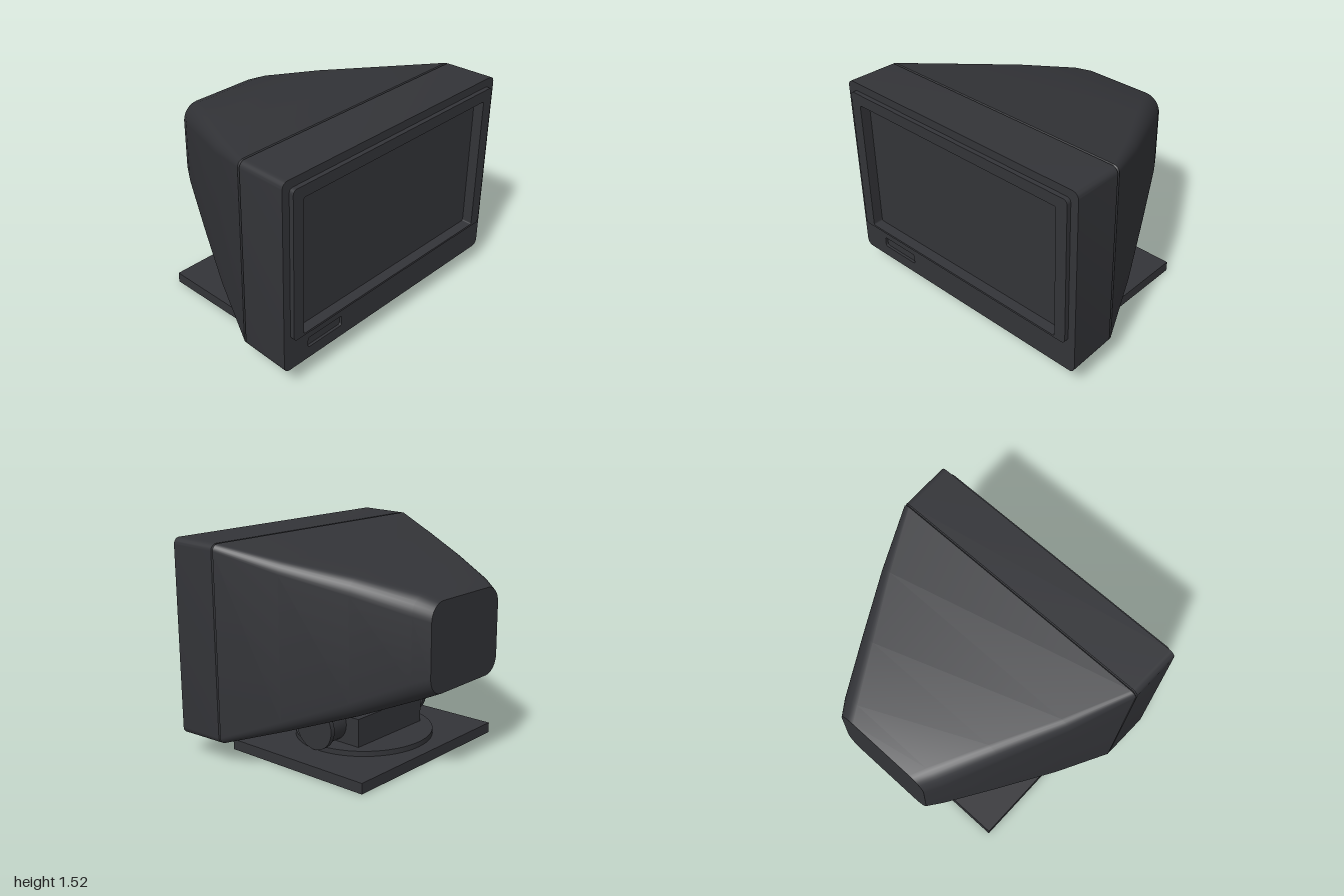
import * as THREE from 'three';
import { toCreasedNormals } from 'three/addons/utils/BufferGeometryUtils.js';

const plastic = new THREE.MeshStandardMaterial({ color: 0x333438 });

// Rounded rectangle as a counter-clockwise loop of points
function roundedLoop(x0, x1, y0, y1, r, seg = 8) {
  const centres = [[x1 - r, y1 - r], [x0 + r, y1 - r], [x0 + r, y0 + r], [x1 - r, y0 + r]];
  const pts = [];
  centres.forEach(([cx, cy], k) => {
    for (let i = 0; i <= seg; i++) {
      const a = (k + i / seg) * Math.PI / 2;
      pts.push(new THREE.Vector2(cx + r * Math.cos(a), cy + r * Math.sin(a)));
    }
  });
  return pts;
}

function plate(outer, ...holes) {
  const shape = new THREE.Shape(outer);
  shape.holes = holes.map((h) => new THREE.Path(h));
  return shape;
}

const extrude = (shape, depth) => new THREE.ExtrudeGeometry(shape, { depth, bevelEnabled: false });

// Skin over rounded sections [z, halfWidth, bottom, top, radius], front to back
function loft(sections) {
  const pos = [], idx = [];
  let n = 0;
  for (const [z, w, y0, y1, r] of sections) {
    const loop = roundedLoop(-w, w, y0, y1, r);
    n = loop.length;
    loop.forEach((p) => pos.push(p.x, p.y, z));
  }
  for (let s = 0; s < sections.length - 1; s++) {
    for (let j = 0; j < n; j++) {
      const a = s * n + j, b = s * n + (j + 1) % n;
      idx.push(a, a + n, b, b, a + n, b + n);
    }
  }
  const g = new THREE.BufferGeometry();
  g.setAttribute('position', new THREE.Float32BufferAttribute(pos, 3));
  g.setIndex(idx);
  return toCreasedNormals(g, 0.45);
}

export function createModel() {
  const model = new THREE.Group();
  const add = (name, geometry, x = 0, y = 0, z = 0, parent = model) => {
    const mesh = new THREE.Mesh(geometry, plastic);
    mesh.name = name;
    mesh.position.set(x, y, z);
    parent.add(mesh);
    return mesh;
  };

  // Front housing with its face, pierced for the screen and the control panel
  const opening = roundedLoop(-0.86, 0.86, 0.405, 1.38, 0.012);
  const panel = roundedLoop(-0.79, -0.48, 0.235, 0.31, 0.015);
  add('frontHousing', loft([
    [0.803, 1, 0.153, 1.517, 0.045],
    [0.447, 0.993, 0.16, 1.511, 0.045],
    [0.441, 0.984, 0.169, 1.502, 0.04],
  ]));
  add('frontFace', new THREE.ShapeGeometry(
    plate(roundedLoop(-1, 1, 0.153, 1.517, 0.045), opening, panel)), 0, 0, 0.803);

  // Tapering rear housing, corners softening towards the back
  const rear = [
    [0.441, 0.984, 0.169, 1.502, 0.04],
    [0.432, 0.993, 0.16, 1.511, 0.045],
    [0.03, 0.82, 0.285, 1.423, 0.08],
    [-0.38, 0.615, 0.42, 1.34, 0.11],
    [-0.735, 0.435, 0.56, 1.25, 0.13],
    [-0.837, 0.37, 0.605, 1.207, 0.12],
  ];
  add('rearHousing', loft(rear));
  const [backZ, w, y0, y1, r] = rear[rear.length - 1];
  add('backPanel', new THREE.ShapeGeometry(plate(roundedLoop(-w, w, y0, y1, r))), 0, 0, backZ)
    .rotation.y = Math.PI;

  // Raised bezel reaching back to the recessed screen
  add('bezel', extrude(plate(roundedLoop(-0.945, 0.945, 0.39, 1.46, 0.03), opening), 0.085), 0, 0, 0.75);
  add('screen', new THREE.PlaneGeometry(1.74, 0.99), 0, 0.8925, 0.76);

  // Shallow control panel recess
  add('controlRecess', extrude(plate(roundedLoop(-0.8, -0.47, 0.225, 0.32, 0.02), panel), 0.025), 0, 0, 0.777);
  add('controlPanel', new THREE.PlaneGeometry(0.32, 0.085), -0.635, 0.2725, 0.783);

  // Swivel stand
  const stand = new THREE.Group();
  stand.name = 'stand';
  model.add(stand);
  add('basePlate', new THREE.BoxGeometry(1.44, 0.075, 1.185), 0, 0.0375, 0.017, stand);
  add('turntable', new THREE.CylinderGeometry(0.49, 0.49, 0.04, 64), 0, 0.092, 0.017, stand);
  add('pedestal', new THREE.BoxGeometry(0.69, 0.21, 0.49), 0, 0.207, 0.02, stand);
  add('tiltAxle', new THREE.CylinderGeometry(0.135, 0.135, 1, 40), 0, 0.248, 0.018, stand)
    .rotation.z = Math.PI / 2;
  for (const side of [-1, 1]) {
    add(side > 0 ? 'leftTiltCap' : 'rightTiltCap',
      new THREE.CylinderGeometry(0.158, 0.158, 0.035, 40), side * 0.507, 0.248, 0.018, stand)
      .rotation.z = Math.PI / 2;
  }
  return model;
}
